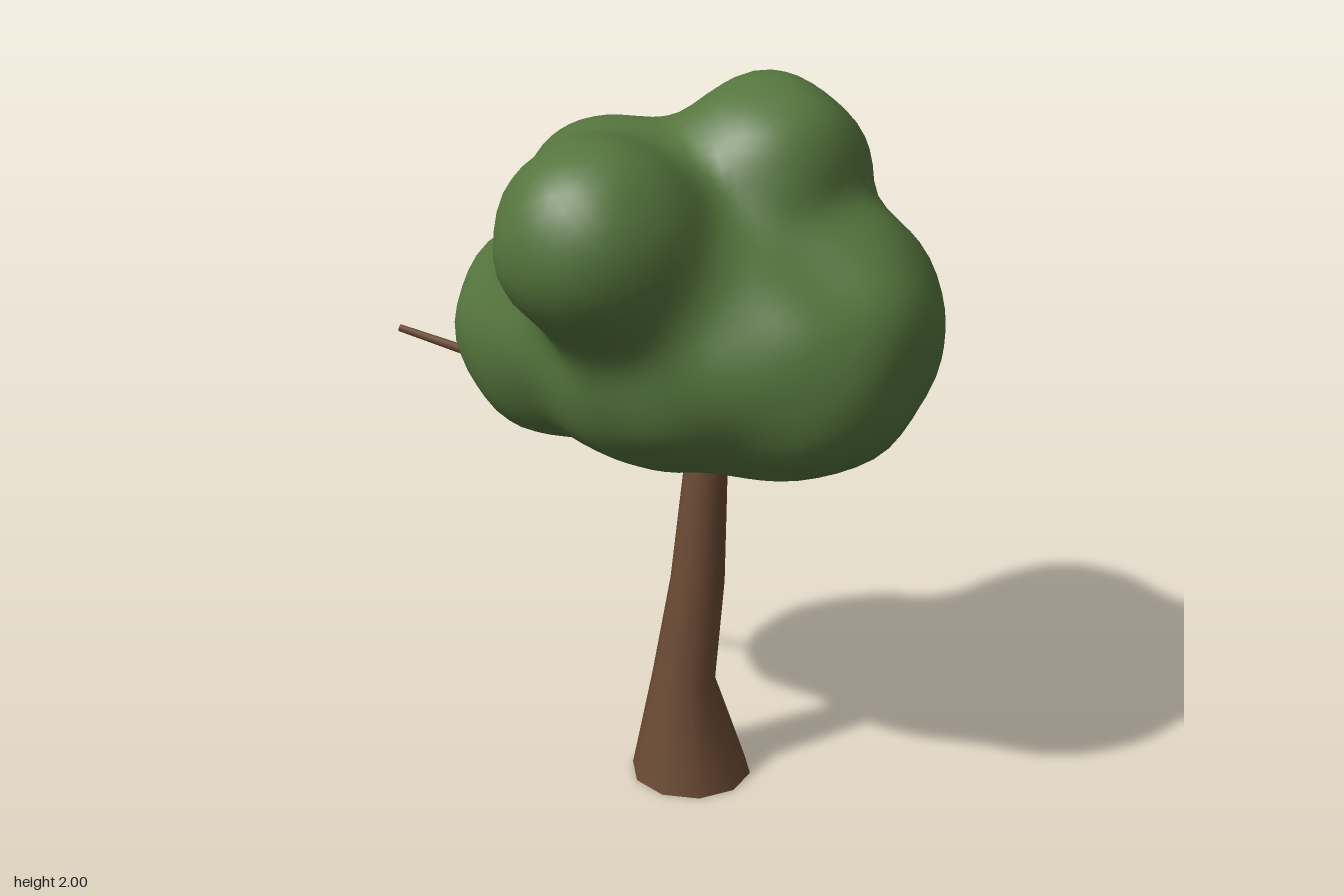
import * as THREE from 'three';
import { mergeVertices } from 'three/addons/utils/BufferGeometryUtils.js';

// Crown lobes [x, y, z, radius]
const LOBES = [
  [0.13, 1.4, 0, 0.34],         // core
  [0.07, 1.23, 0.13, 0.235],    // underside
  [0.17, 1.39, 0.18, 0.28],     // front filling
  [-0.06, 1.3, 0.1, 0.25],      // filling below the upper front lobe
  [0.12, 1.385, -0.165, 0.322], // back filling
  [0.26, 1.73, -0.06, 0.268],   // top
  [0.15, 1.61, -0.33, 0.257],   // back
  [-0.1, 1.655, 0.33, 0.257],   // upper front
  [-0.135, 1.64, 0.02, 0.25],   // upper right
  [-0.28, 1.29, -0.1, 0.308],   // lower right
  [0.44, 1.35, 0.06, 0.285],    // lower left
  [0.39, 1.28, 0.19, 0.255],    // lower left, front
  [0.49, 1.45, 0.02, 0.2],      // left shoulder
];

// Distance to the softly merged lobes, with slight lumpiness
function crownDistance(p) {
  const k = 0.14;
  let d = 10;
  for (const [x, y, z, r] of LOBES) {
    const e = Math.hypot(p.x - x, p.y - y, p.z - z) - r;
    const h = Math.max(k - Math.abs(d - e), 0) / k;
    d = Math.min(d, e) - h * h * k * 0.25;
  }
  return d + 0.009 * Math.sin(15 * p.x + 1) * Math.sin(14 * p.y + 2) * Math.sin(16 * p.z + 0.5);
}

// Shrink-wrap a sphere mesh onto the merged lobes
function crown(material) {
  const ball = new THREE.IcosahedronGeometry(1, 16);
  ball.deleteAttribute('uv');
  ball.deleteAttribute('normal');
  const geo = mergeVertices(ball, 1e-4);
  const pos = geo.attributes.position;
  const centre = new THREE.Vector3(0.08, 1.43, 0);
  const dir = new THREE.Vector3();
  const p = new THREE.Vector3();
  for (let i = 0; i < pos.count; i++) {
    dir.fromBufferAttribute(pos, i).normalize();
    let t = 1.3;
    for (let s = 0; s < 80; s++) {
      p.copy(centre).addScaledVector(dir, t);
      const d = crownDistance(p);
      if (d < 0.0005) break;
      t -= d * 0.8;
    }
    pos.setXYZ(i, p.x, p.y, p.z);
  }
  geo.computeVertexNormals();
  const mesh = new THREE.Mesh(geo, material);
  mesh.name = 'crown';
  return mesh;
}

// Round column through rings [x, y, z, r], with flat end caps
function column(name, material, rings, sides) {
  const verts = [], index = [];
  for (const [x, y, z, r] of rings) {
    for (let i = 0; i < sides; i++) {
      const a = (i / sides) * Math.PI * 2;
      verts.push(x + r * Math.cos(a), y, z - r * Math.sin(a));
    }
  }
  for (let j = 0; j < rings.length - 1; j++) {
    for (let i = 0; i < sides; i++) {
      const a = j * sides + i, b = j * sides + (i + 1) % sides;
      index.push(a, b, b + sides, a, b + sides, a + sides);
    }
  }
  const side = new THREE.BufferGeometry();
  side.setAttribute('position', new THREE.Float32BufferAttribute(verts, 3));
  side.setIndex(index);
  side.computeVertexNormals();
  const group = new THREE.Group();
  group.name = name;
  group.add(new THREE.Mesh(side, material));
  [rings[0], rings[rings.length - 1]].forEach(([x, y, z, r], top) => {
    const cap = new THREE.CircleGeometry(r, sides);
    cap.rotateX(top ? -Math.PI / 2 : Math.PI / 2);
    const mesh = new THREE.Mesh(cap, material);
    mesh.position.set(x, y, z);
    group.add(mesh);
  });
  return group;
}

export function createModel() {
  const leaf = new THREE.MeshStandardMaterial({ color: 0x55753d });
  leaf.name = 'leafGreen';
  const bark = new THREE.MeshStandardMaterial({ color: 0x6b4a34 });
  bark.name = 'barkBrown';

  const tree = new THREE.Group();
  tree.name = 'tree';

  // Leaning trunk with a flared foot
  tree.add(column('trunk', bark, [
    [0.082, 0, 0.007, 0.171],
    [0.06, 0.3, 0.015, 0.09],
    [0.096, 0.6, 0.003, 0.076],
    [0.115, 0.92, 0, 0.061],
    [0.138, 1.02, 0, 0.056],
    [0.17, 1.2, 0, 0.05],
  ], 10));

  // Bare twig poking out of the side
  const from = new THREE.Vector3(-0.35, 1.155, -0.03);
  const to = new THREE.Vector3(-0.742, 1.268, -0.03);
  const axis = to.clone().sub(from);
  const twig = new THREE.Mesh(new THREE.CylinderGeometry(0.01, 0.017, axis.length(), 7), bark);
  twig.name = 'twig';
  twig.position.copy(from).add(to).multiplyScalar(0.5);
  twig.quaternion.setFromUnitVectors(new THREE.Vector3(0, 1, 0), axis.normalize());
  tree.add(twig);

  tree.add(crown(leaf));
  return tree;
}
